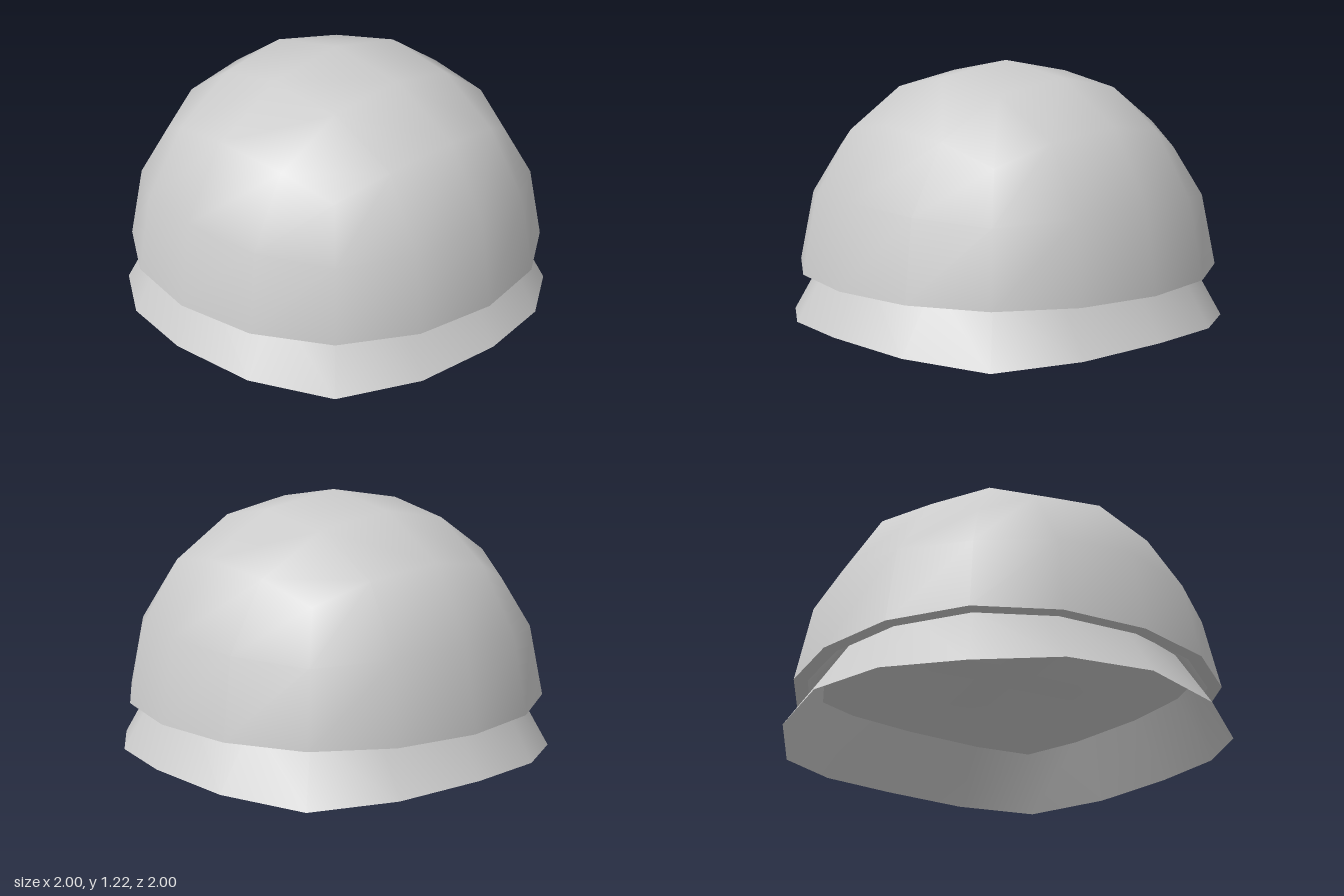
import * as THREE from 'three';
import { mergeVertices } from 'three/addons/utils/BufferGeometryUtils.js';

const material = new THREE.MeshStandardMaterial({ color: 0xcccccc, side: THREE.DoubleSide });
const RIM_Y = 0.25;

// Rounded-cube positions, keyed by sorted lattice coordinates; each value is looked up per coordinate.
const ROUNDED = {
  '200': [0, 0, 1],
  '210': [0, 0.399, 0.933],
  '220': [0, 0, 0.732],
  '211': [0, 0.371, 0.87],
  '221': [0, 0.344, 0.682],
  '222': [0, 0, 0.58],
};

// Upper half of a subdivided cube rounded into a ball; the lining's faces are turned inward
function domeGeometry(radius, inward = false) {
  let geo = new THREE.BoxGeometry(4, 4, 4, 4, 4, 4);
  geo.deleteAttribute('uv');
  geo.deleteAttribute('normal');
  geo = mergeVertices(geo);
  geo.clearGroups();
  const pos = geo.attributes.position;
  for (let i = 0; i < pos.count; i++) {
    const p = [pos.getX(i), pos.getY(i), pos.getZ(i)].map(Math.round);
    const row = ROUNDED[p.map(Math.abs).sort((a, b) => b - a).join('')];
    pos.setXYZ(i, ...p.map((v) => Math.sign(v) * row[Math.abs(v)] * radius));
  }
  const old = geo.index.array;
  const kept = [];
  for (let i = 0; i < old.length; i += 3) {
    const [a, b, c] = [old[i], old[i + 1], old[i + 2]];
    if ([a, b, c].some((v) => pos.getY(v) < -0.01)) continue;
    kept.push(...(inward ? [a, c, b] : [a, b, c]));
  }
  geo.setIndex(kept);
  geo.computeVertexNormals();
  return geo.translate(0, RIM_Y, 0);
}

// Sixteen-sided ring from three [x, y, z] points: on the axis, in between, and on the diagonal
function ring(axis, mid, diagonal) {
  const quarter = [axis, mid, diagonal, [mid[2], mid[1], mid[0]]];
  const points = [];
  for (let q = 0; q < 4; q++) {
    const c = Math.round(Math.cos(q * Math.PI / 2));
    const s = Math.round(Math.sin(q * Math.PI / 2));
    for (const [x, y, z] of quarter) points.push([x * c - z * s, y, x * s + z * c]);
  }
  return points;
}

// Level ring with the outline of the dome's equator
const level = (r, y) => ring([r, y, 0], [0.933 * r, y, 0.399 * r], [0.732 * r, y, 0.732 * r]);

// Surface through a row of rings, each joined to the next
function loft(rings) {
  const n = rings[0].length;
  const index = [];
  for (let k = 0; k < rings.length - 1; k++) {
    for (let i = 0; i < n; i++) {
      const a = k * n + i;
      const b = k * n + (i + 1) % n;
      index.push(a, b, a + n, b, b + n, a + n);
    }
  }
  const geo = new THREE.BufferGeometry();
  geo.setAttribute('position', new THREE.Float32BufferAttribute(rings.flat(2), 3));
  geo.setIndex(index);
  geo.computeVertexNormals();
  return geo;
}

export function createModel() {
  const model = new THREE.Group();
  const add = (name, geometry) => {
    const mesh = new THREE.Mesh(geometry, material);
    mesh.name = name;
    model.add(mesh);
  };

  // Thick dome
  add('outerDome', domeGeometry(0.967));
  add('innerLining', domeGeometry(0.905, true));
  add('domeRim', loft([level(0.905, RIM_Y), level(0.967, RIM_Y)]));

  // Gently hollowed underside, facing down, from the rim to the middle
  const collar = ring([0.82, 0.33, 0], [0.75, 0.308, 0.379], [0.62, 0.28, 0.62]);
  add('underside', loft([level(0, 0.36), level(0.42, 0.35), collar, level(0.905, RIM_Y)]));

  // Flared skirt, wavy along both edges
  add('flaredBrim', loft([collar, ring([1, 0.05, 0], [0.933, 0.03, 0.399], [0.732, 0, 0.732])]));

  return model;
}
